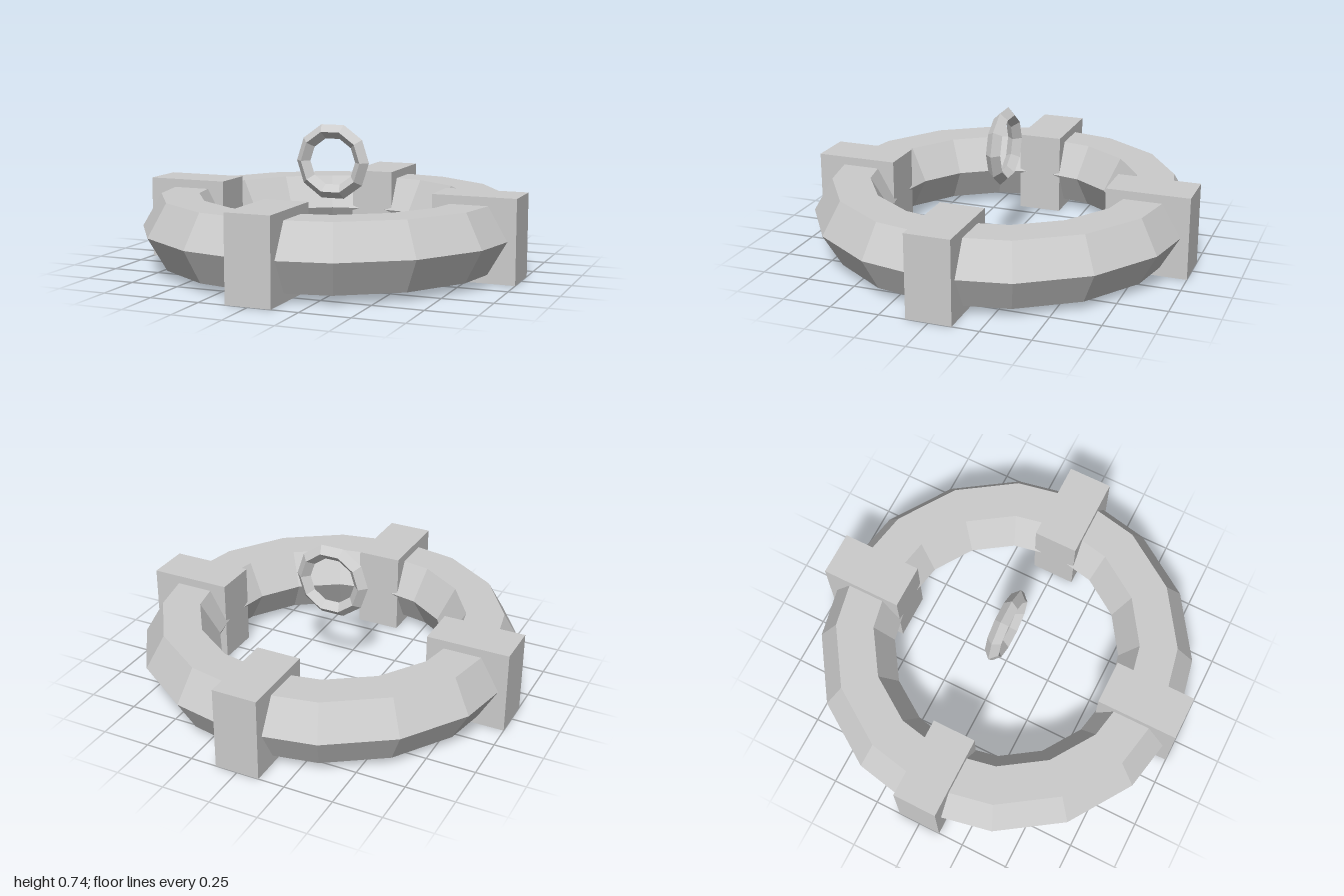
import * as THREE from 'three';

export function createModel() {
  const model = new THREE.Group();
  const grey = new THREE.MeshStandardMaterial({ color: 0xcccccc });
  grey.name = 'grey';
  grey.flatShading = true;

  const add = (name, geometry, x, y, z) => {
    const mesh = new THREE.Mesh(geometry, grey);
    mesh.name = name;
    mesh.position.set(x, y, z);
    model.add(mesh);
    return mesh;
  };

  // Main ring: hexagonal section, sixteen sides, lying flat
  const ring = new THREE.TorusGeometry(0.785, 0.195, 6, 16).rotateX(Math.PI / 2);
  add('mainRing', ring, 0, 0.2125, 0);

  // Four square bands wrapped around the ring
  const names = ['leftBand', 'frontBand', 'rightBand', 'backBand'];
  const band = new THREE.BoxGeometry(0.425, 0.425, 0.23);
  names.forEach((name, i) => {
    const a = (i * Math.PI) / 2;
    const mesh = add(name, band, 0.7875 * Math.cos(a), 0.2125, 0.7875 * Math.sin(a));
    mesh.rotation.y = -a;
  });

  // Small upright ring floating over the centre: diamond section, ten sides
  add('smallRing', new THREE.TorusGeometry(0.162, 0.038, 4, 10), 0, 0.545, 0);

  return model;
}
